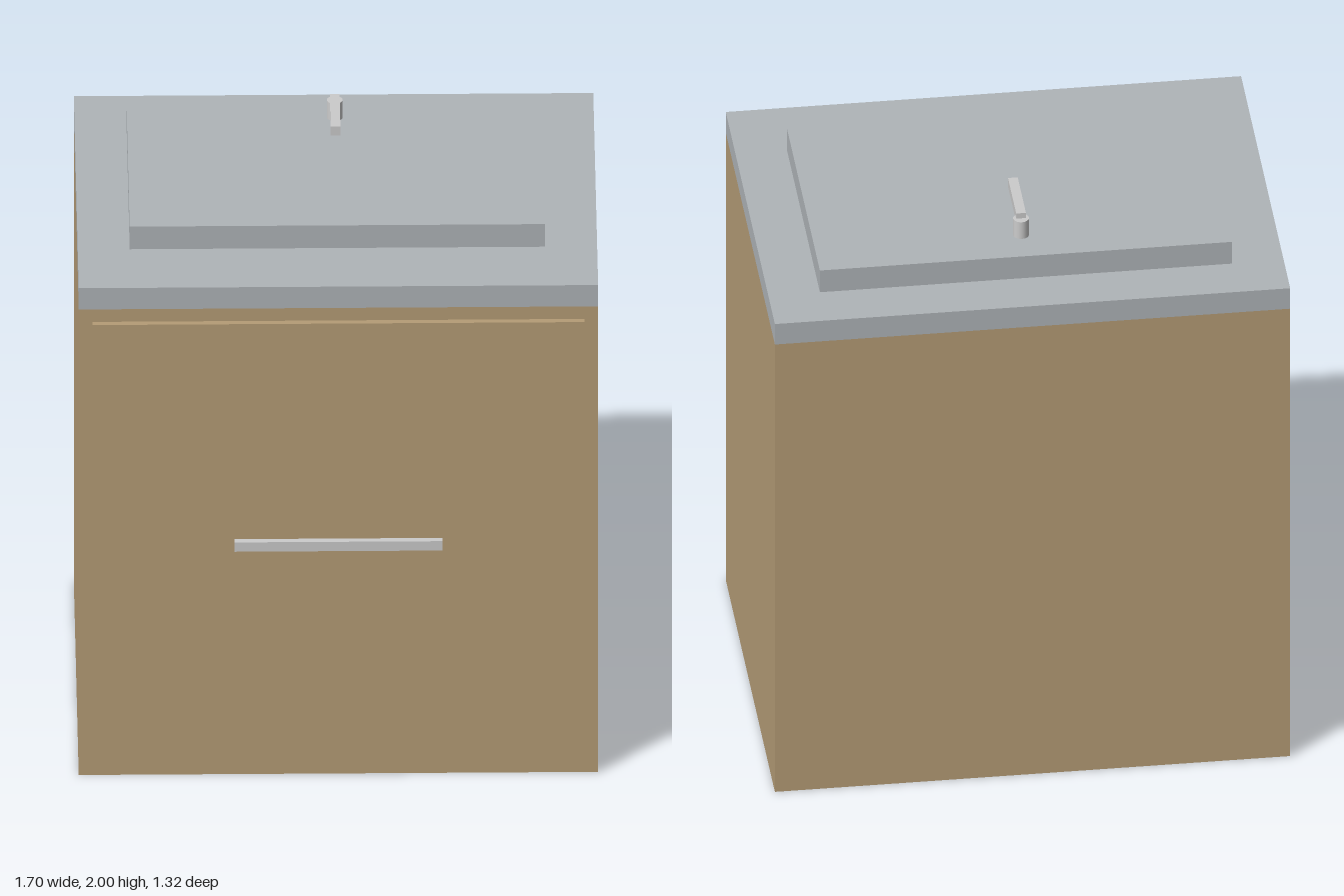
import * as THREE from 'three';

export function createModel() {
  const model = new THREE.Group();
  const wood = new THREE.MeshStandardMaterial({ color: 0xb59c76 });
  const stone = new THREE.MeshStandardMaterial({ color: 0xafb4b8 });
  const metal = new THREE.MeshStandardMaterial({ color: 0xcccccc });

  const add = (name, geometry, material, x, y, z) => {
    const mesh = new THREE.Mesh(geometry, material);
    mesh.name = name;
    mesh.position.set(x, y, z);
    model.add(mesh);
  };

  // Box centred on x, given its width and its y and z ranges
  const box = (name, material, width, y0, y1, z0, z1) =>
    add(name, new THREE.BoxGeometry(width, y1 - y0, z1 - z0), material, 0, (y0 + y1) / 2, (z0 + z1) / 2);

  // Cabinet with its overlaid door and bar handle
  box('cabinet', wood, 1.7, 0, 1.75, -0.66, 0.617);
  box('door', wood, 1.61, 0.045, 1.703, 0.617, 0.638);
  box('doorHandle', metal, 0.68, 0.86, 0.895, 0.638, 0.66);

  // Worktop, flush with the cabinet, and the raised sink slab
  box('countertop', stone, 1.7, 1.75, 1.83, -0.66, 0.617);
  box('sink', stone, 1.36, 1.83, 1.915, -0.49, 0.36);

  // Tap: round post with a square spout reaching forward
  add('tapPost', new THREE.CylinderGeometry(0.026, 0.026, 0.065, 24), metal, 0, 1.9475, -0.36);
  box('tapSpout', metal, 0.032, 1.965, 2, -0.362, -0.148);

  return model;
}
